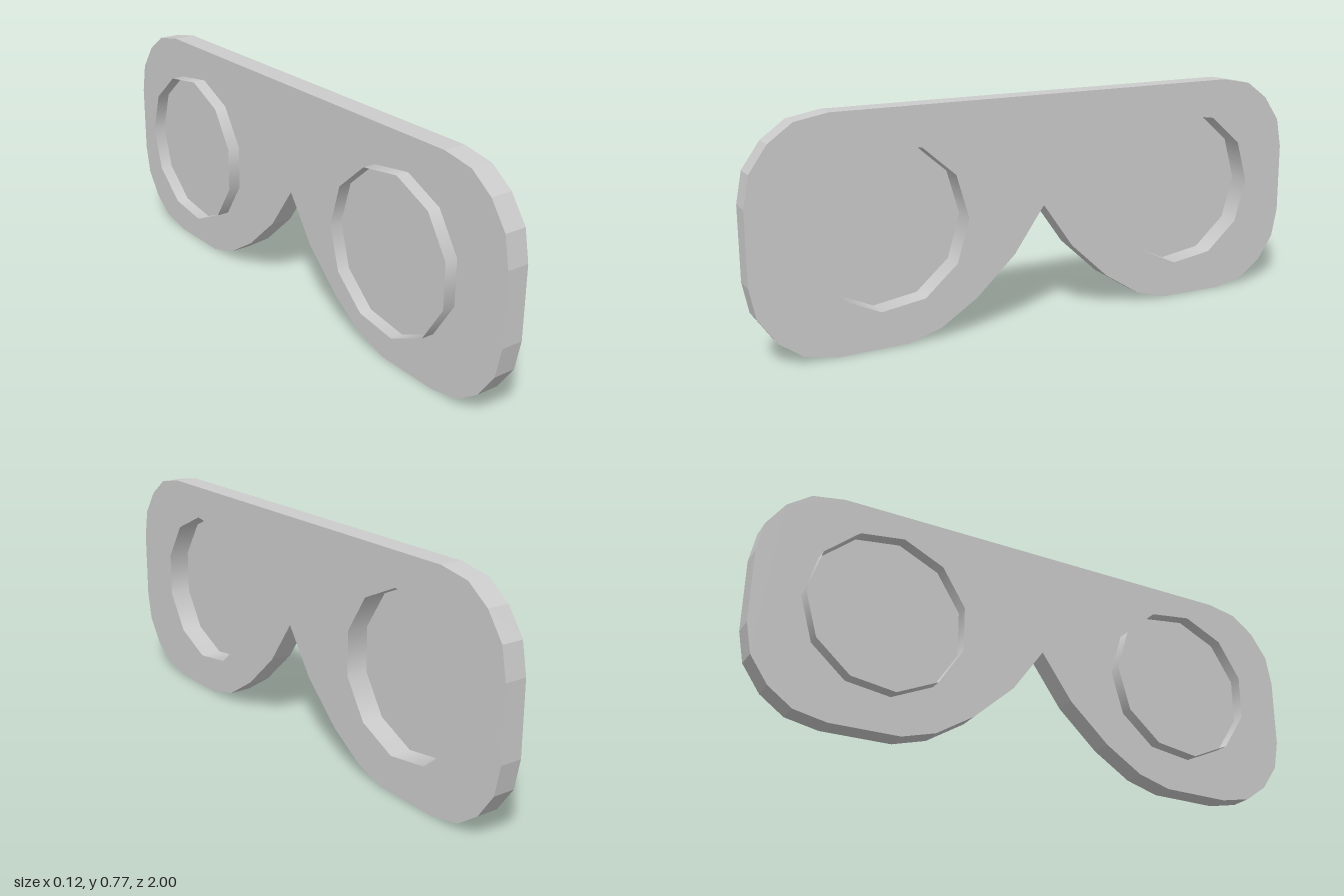
import * as THREE from 'three';

const BACK = -0.016, FRONT = 0.06, RIM_BACK = -0.06;
const LENS_RADIUS = 0.27, LENS_Y = 0.39, SIDES = 11;
const LENS_CENTRES = [-0.545, 0.575];

// Half of the mask outline, from the nose notch round to the top edge
const HALF = [
  [0, 0.4], [0.11, 0.245], [0.25, 0.117], [0.38, 0.035], [0.495, 0.002], [0.73, 0],
  [0.84, 0.022], [0.92, 0.079], [0.98, 0.165], [1, 0.265], [1, 0.505],
  [0.98, 0.607], [0.92, 0.692], [0.84, 0.75], [0.73, 0.77],
];

// Flat-shaded wall joining the front and back faces along the outline
function edgeWall(points) {
  const pos = [];
  points.forEach((p, i) => {
    const q = points[(i + 1) % points.length];
    pos.push(p.x, p.y, BACK, q.x, q.y, BACK, q.x, q.y, FRONT);
    pos.push(p.x, p.y, BACK, q.x, q.y, FRONT, p.x, p.y, FRONT);
  });
  const geo = new THREE.BufferGeometry();
  geo.setAttribute('position', new THREE.Float32BufferAttribute(pos, 3));
  geo.computeVertexNormals();
  return geo;
}

export function createModel() {
  const group = new THREE.Group();
  const material = new THREE.MeshStandardMaterial({ color: 0xcccccc, side: THREE.DoubleSide });
  const add = (name, geometry) => {
    const mesh = new THREE.Mesh(geometry, material);
    mesh.name = name;
    group.add(mesh);
    return mesh;
  };

  // Mirrored outline, counter-clockwise
  const outline = [
    ...HALF.map(([u, y]) => new THREE.Vector2(u, y)),
    ...HALF.slice(1).reverse().map(([u, y]) => new THREE.Vector2(-u, y)),
  ];

  // Back face is whole and closes the eye recesses; front face is cut open
  add('backFace', new THREE.ShapeGeometry(new THREE.Shape(outline))).position.z = BACK;
  const frontShape = new THREE.Shape(outline);
  for (const u of LENS_CENTRES) {
    const hole = [];
    for (let i = 0; i < SIDES; i++) {
      const a = (-i / SIDES) * Math.PI * 2;
      hole.push(new THREE.Vector2(u + LENS_RADIUS * Math.cos(a), LENS_Y + LENS_RADIUS * Math.sin(a)));
    }
    frontShape.holes.push(new THREE.Path(hole));
  }
  add('frontFace', new THREE.ShapeGeometry(frontShape)).position.z = FRONT;
  add('outerEdge', edgeWall(outline));

  // Thin eye rims line the recesses and stand out behind the plate
  LENS_CENTRES.forEach((u, i) => {
    const rim = new THREE.CylinderGeometry(
      LENS_RADIUS, LENS_RADIUS, FRONT - RIM_BACK, SIDES, 1, true, Math.PI / 2);
    rim.rotateX(Math.PI / 2);
    add(i ? 'rearEyeRim' : 'frontEyeRim', rim).position.set(u, LENS_Y, (FRONT + RIM_BACK) / 2);
  });

  // Turn the plate so its open face looks along +x
  group.rotation.y = Math.PI / 2;
  const model = new THREE.Group();
  model.name = 'eyeMask';
  group.name = 'plate';
  model.add(group);
  return model;
}
